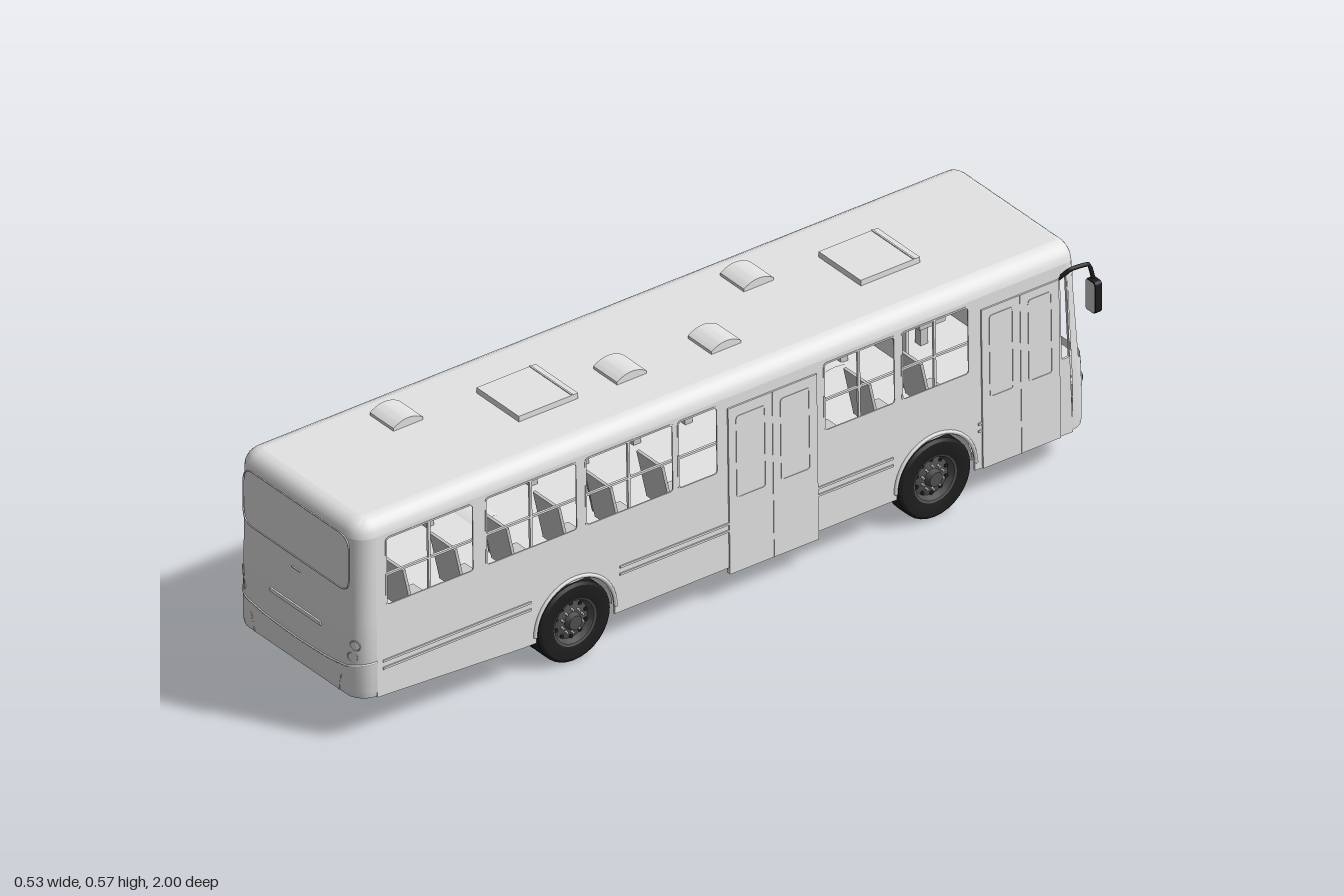
import * as THREE from 'three';
import { toCreasedNormals } from 'three/addons/utils/BufferGeometryUtils.js';

const mat = (name, color) => new THREE.MeshStandardMaterial({ name, color, side: THREE.DoubleSide });
const M = {
  body: mat('bodyGrey', 0xe4e4e4), trim: mat('trimGrey', 0xcccccc),
  black: mat('black', 0x1c1c1c), tyre: mat('tyreBlack', 0x1e1e1e), rim: mat('rimGrey', 0x505050),
};
const W = 0.224, REAR = 0.995, FRONT = -0.985, R = 0.05, ROOF = 0.506, FLOOR = 0.2;
const WHEELS = [0.41, -0.565];

// sides lean inwards and the windscreen end leans back
function lean(geo) {
  const p = geo.attributes.position;
  for (let i = 0; i < p.count; i++) {
    const y = p.getY(i), z = p.getZ(i);
    p.setX(i, p.getX(i) * (1 - 0.08 * (y - 0.08)));
    const w = THREE.MathUtils.clamp((-z - 0.9) / 0.085, 0, 1.1);
    p.setZ(i, z + w * 0.1 * Math.max(0, y - 0.22));
  }
  return geo;
}

// rounded plan outline: points 0-13 are the rear end, 14-27 the front end
function outline(off, y) {
  const pts = [];
  for (let c = 0; c < 4; c++) for (let i = 0; i < 7; i++) {
    const a = (c + i / 6) * Math.PI / 2, r = R - off;
    const cx = (c === 0 || c === 3 ? 1 : -1) * (W - R), cz = c < 2 ? REAR - R : FRONT + R;
    pts.push([cx + r * Math.cos(a), y, cz + r * Math.sin(a)]);
  }
  return pts;
}

function loft(rings, closed) {
  const n = rings[0].length, idx = [];
  for (let j = 0; j < rings.length - 1; j++) for (let i = 0; i < (closed ? n : n - 1); i++) {
    const a = j * n + i, b = j * n + (i + 1) % n;
    idx.push(a, a + n, b, b, a + n, b + n);
  }
  const g = new THREE.BufferGeometry();
  g.setAttribute('position', new THREE.Float32BufferAttribute(rings.flat(2), 3));
  g.setIndex(idx);
  lean(g).computeVertexNormals();
  return toCreasedNormals(g, 0.6);
}

function rounded(path, x0, y0, x1, y1, r) {
  path.moveTo(x0 + r, y0); path.lineTo(x1 - r, y0); path.quadraticCurveTo(x1, y0, x1, y0 + r);
  path.lineTo(x1, y1 - r); path.quadraticCurveTo(x1, y1, x1 - r, y1);
  path.lineTo(x0 + r, y1); path.quadraticCurveTo(x0, y1, x0, y1 - r);
  path.lineTo(x0, y0 + r); path.quadraticCurveTo(x0, y0, x0 + r, y0);
  return path;
}

export function createModel() {
  const root = new THREE.Group(); root.name = 'cityBus';
  const bus = new THREE.Group(); bus.name = 'bus'; bus.position.x = 0.01; root.add(bus);
  const add = (name, geo, m, parent = bus) => {
    const o = new THREE.Mesh(geo, m); o.name = name; parent.add(o); return o;
  };
  const box = (name, m, x0, x1, y0, y1, z0, z1, bent) => {
    const g = new THREE.BoxGeometry(x1 - x0, y1 - y0, z1 - z0).translate((x0 + x1) / 2, (y0 + y1) / 2, (z0 + z1) / 2);
    return add(name, bent ? lean(g) : g, m);
  };
  const tube = (name, m, r, pts, steps = 12) => add(name, new THREE.TubeGeometry(
    new THREE.CatmullRomCurve3(pts.map(p => new THREE.Vector3(...p)), false, 'catmullrom', 0.2), steps, r, 6), m);
  const frame = (x0, y0, x1, y1, r, t) => {
    const s = rounded(new THREE.Shape(), x0, y0, x1, y1, r);
    s.holes.push(rounded(new THREE.Path(), x0 + t, y0 + t, x1 - t, y1 - t, Math.max(r - t, 0.001)));
    return new THREE.ExtrudeGeometry(s, { depth: 0.003, bevelEnabled: false });
  };
  const sideways = (g, x) => lean(g.rotateY(Math.PI / 2).translate(x, 0, 0));

  // side walls with window and wheel openings; drawn with u = -z
  const common = [[0.68, 0.92], [0.4, 0.65], [0.14, 0.38], [0.02, 0.13], [-0.46, -0.265], [-0.66, -0.475]];
  for (const s of [1, -1]) {
    const shape = new THREE.Shape();
    shape.moveTo(-REAR + R, 0.107); shape.lineTo(-0.55, 0.085);
    for (const z of WHEELS) {
      shape.lineTo(-z - 0.106, 0.085);
      shape.absarc(-z, 0.1, 0.106, Math.PI, 0, true);
      shape.lineTo(-z + 0.106, 0.08);
    }
    shape.lineTo(-FRONT - R, 0.08); shape.lineTo(-FRONT - R, ROOF); shape.lineTo(-REAR + R, ROOF);
    const wins = s > 0 ? common : [...common, [-0.245, -0.01], [-0.89, -0.7]];
    for (const [a, b] of wins) shape.holes.push(rounded(new THREE.Path(), -b, 0.325, -a, 0.497, 0.012));
    shape.holes.push(rounded(new THREE.Path(), 0.908, 0.27, 0.93, 0.485, 0.006));
    add('sideWall', sideways(new THREE.ExtrudeGeometry(shape, { depth: 0.006, bevelEnabled: false, curveSegments: 14 }),
      s > 0 ? W - 0.006 : -W), M.body);
    const xo = s > 0 ? W - 0.002 : -W - 0.001;
    for (const [a, b] of wins) {
      add('windowFrame', sideways(frame(-b, 0.325, -a, 0.497, 0.012, 0.004), xo), M.body);
      const x = s * (W - 0.004), m = (a + b) / 2;
      box('windowRail', M.body, x - 0.003, x + 0.003, 0.4, 0.405, a, b, true);
      if (b - a > 0.15) box('windowDivider', M.body, x - 0.003, x + 0.003, 0.325, 0.497, m - 0.003, m + 0.003, true);
    }
    // belt mouldings between the wheel arches
    for (const [a, b] of [[0.53, 0.93], [-0.45, 0.29], [-0.9, -0.68]])
      for (const y of [0.172, 0.19])
        box('beltMoulding', M.body, s * W - 0.003, s * W + 0.003, y, y + 0.005, a, b, true);
    for (const z of WHEELS) {
      const lip = new THREE.TorusGeometry(0.109, 0.005, 6, 24, Math.PI).rotateY(Math.PI / 2).translate(s * W, 0.1, z);
      add('archLip', lean(lip), M.body);
      const len = z > 0 ? 0.12 : 0.08;
      add('wheelWell', new THREE.CylinderGeometry(0.106, 0.106, len, 20, 1, true, 0, Math.PI)
        .rotateZ(Math.PI / 2).translate(s * (W - 0.01 - len / 2), 0.1, z), M.body);
    }
  }

  // doors on the kerb side, each with a stepwell
  for (const [name, a, b, y0, y1] of [['middleDoor', -0.245, -0.005, 0.067, 0.48], ['frontDoor', -0.9, -0.69, 0.08, 0.475]]) {
    box(name, M.body, W - 0.008, W + 0.004, y0, y1, a, b, true);
    const m = (a + b) / 2;
    for (const [p, q] of [[a, m], [m, b]])
      add('doorPane', sideways(frame(-q + 0.02, 0.25, -p - 0.02, 0.455, 0.01, 0.003), W + 0.0025), M.body);
    box('doorSplit', M.body, W, W + 0.0055, y0, y1, m - 0.0015, m + 0.0015, true);
    box('doorStep', M.body, 0.12, W - 0.002, y0 + 0.01, y0 + 0.02, a, b);
    box('stepRiser', M.body, 0.12, 0.126, y0 + 0.02, FLOOR, a, b);
  }

  // roof with rolled edges, and both ends
  const rings = [0, 1, 2, 3, 4, 5].map(i => {
    const a = i * Math.PI / 10;
    return outline(0.04 * (1 - Math.cos(a)), ROOF + 0.04 * Math.sin(a));
  });
  add('roofEdge', loft(rings, true), M.body);
  const top = new THREE.Shape(outline(0.04, 0).map(([x, , z]) => new THREE.Vector2(x, -z)));
  add('roof', lean(new THREE.ShapeGeometry(top).rotateX(-Math.PI / 2).translate(0, ROOF + 0.04, 0)), M.body);
  const rear = (off, y) => outline(off, y).slice(0, 14);
  const front = (off, y) => outline(off, y).slice(14);
  add('rearWall', loft([rear(0.02, 0.105), rear(0.004, 0.108), rear(0, 0.125), rear(0, 0.3), rear(0, ROOF)]), M.body);
  add('frontPanel', loft([front(0.02, 0.078), front(0.002, 0.084), front(0, 0.1), front(0, 0.22), front(0, 0.255)]), M.body);
  add('frontHeader', loft([front(0, 0.455), front(0, ROOF)]), M.body);
  for (const [i, j] of [[0, 3], [11, 14]])
    add('windscreenPillar', loft([front(0, 0.255).slice(i, j), front(0, 0.455).slice(i, j)]), M.body);

  // rear details
  add('rearWindowSeam', frame(-0.188, 0.37, 0.188, 0.51, 0.035, 0.002).translate(0, 0, REAR - 0.001), M.body);
  for (const s of [1, -1]) for (const [x, y] of [[0.198, 0.24], [0.192, 0.21]])
    add('rearLamp', new THREE.TorusGeometry(0.012, 0.0015, 5, 20)
      .rotateY(s * 0.5).translate(s * x, y, REAR - (x > 0.195 ? 0.008 : 0.006)), M.body);
  box('plateLip', M.body, -0.09, 0.09, 0.243, 0.252, REAR - 0.002, REAR + 0.004);
  box('rearHandle', M.body, -0.015, 0.015, 0.34, 0.343, REAR - 0.002, REAR + 0.003);
  const seam = rear(0, 0.195).map(([x, y, z]) => [x, y - 0.012 * (1 - (Math.abs(x) - 0.174) / 0.05), z]);
  seam.splice(7, 0, [0.11, 0.174, REAR], [0, 0.17, REAR], [-0.11, 0.174, REAR]);
  lean(tube('rearBumperSeam', M.body, 0.0025, seam, 60).geometry);
  for (const s of [1, -1]) tube('bumperCrease', M.body, 0.0015, [[s * 0.16, 0.155, REAR], [s * 0.15, 0.11, REAR - 0.002]]);

  // front details
  const f = FRONT;
  box('routeSign', M.black, -0.17, 0.17, 0.462, 0.512, f - 0.004, f + 0.004, true);
  box('routeSignScreen', M.trim, -0.15, 0.15, 0.474, 0.504, f - 0.006, f, true);
  box('grille', M.black, -0.115, 0.115, 0.204, 0.226, f - 0.004, f, true);
  box('grilleStrip', M.body, -0.115, 0.115, 0.213, 0.217, f - 0.007, f, true);
  box('lowerGrille', M.body, -0.1, 0.1, 0.106, 0.12, f - 0.006, f, true);
  box('bumperBar', M.body, -0.15, 0.15, 0.137, 0.15, f - 0.012, f, true);
  for (const s of [1, -1]) {
    const lamp = new THREE.SphereGeometry(1, 16, 10).scale(0.038, 0.022, 0.012).rotateZ(s * 0.3).rotateY(s * -0.45);
    add('headlamp', lamp.translate(s * 0.18, 0.178, f + 0.008), M.trim);
    add('headlampRing', new THREE.TorusGeometry(0.012, 0.002, 5, 18).translate(s * 0.172, 0.178, f - 0.006), M.rim);
    add('fogLamp', new THREE.CylinderGeometry(0.01, 0.01, 0.006, 14).rotateX(Math.PI / 2).translate(s * 0.15, 0.113, f), M.trim);
    for (const d of [0, 0.02])
      tube('wiper', M.black, 0.003, [[s * (0.05 + d), 0.26, f - 0.002], [s * (0.04 + d), 0.32, f + 0.003], [s * (0.085 + d), 0.4, f + 0.012]]);
    tube('wiperBlade', M.black, 0.0025, [[s * 0.05, 0.36, f + 0.006], [s * 0.12, 0.42, f + 0.013]]);
  }
  const mirror = (x, y, z, turn, arm) => {
    tube('mirrorArm', M.black, 0.005, arm);
    const shell = rounded(new THREE.Shape(), -0.015, -0.037, 0.015, 0.037, 0.008);
    add('mirrorHousing', new THREE.ExtrudeGeometry(shell, { depth: 0.014, bevelSize: 0.003, bevelThickness: 0.003, bevelSegments: 2 })
      .translate(0, 0, -0.007).rotateY(turn).translate(x, y, z), M.black);
    add('mirrorGlass', new THREE.ShapeGeometry(rounded(new THREE.Shape(), -0.016, -0.038, 0.016, 0.038, 0.008))
      .translate(0, 0, 0.011).rotateY(turn).translate(x, y, z), M.trim);
  };
  mirror(-0.255, 0.4, -0.85, 0.1, [[-0.21, 0.482, -0.92], [-0.235, 0.487, -0.88], [-0.25, 0.472, -0.855], [-0.253, 0.435, -0.85]]);
  mirror(0.237, 0.415, -0.982, 0, [[0.212, 0.47, -0.9], [0.224, 0.492, -0.93], [0.228, 0.49, -0.975], [0.232, 0.45, -0.985]]);

  // roof hatches and curved vents
  for (const z of [-0.555, 0.37]) {
    box('roofHatch', M.body, -0.075, 0.075, 0.543, 0.56, z - 0.08, z + 0.08);
    box('hatchHinge', M.body, -0.075, 0.075, 0.56, 0.562, z - 0.066, z - 0.062);
  }
  for (const [x, z] of [[-0.1, -0.3], [0.063, -0.088], [0.04, 0.15], [-0.1, 0.648]]) {
    const v = new THREE.Shape();
    v.moveTo(-0.04, 0); v.lineTo(-0.04, 0.008); v.quadraticCurveTo(0, 0.034, 0.04, 0.008); v.lineTo(0.04, 0);
    add('roofVent', toCreasedNormals(new THREE.ExtrudeGeometry(v, { depth: 0.084, bevelEnabled: false })
      .rotateY(Math.PI / 2).translate(x - 0.042, 0.545, z), 0.5), M.body);
  }

  // raised floor on a ladder chassis
  box('floor', M.body, -0.215, 0.215, FLOOR - 0.006, FLOOR, -0.95, 0.96);
  for (const s of [1, -1]) {
    box('chassisRail', M.body, s * 0.09 - 0.012, s * 0.09 + 0.012, 0.1, 0.15, -0.95, 0.95);
    for (const z of WHEELS) {
      tube('leafSpring', M.trim, 0.008, [[s * 0.1, 0.08, z - 0.13], [s * 0.1, 0.06, z], [s * 0.1, 0.08, z + 0.13]]);
      for (const d of [-0.13, 0.13]) box('springHanger', M.trim, s * 0.1 - 0.01, s * 0.1 + 0.01, 0.052, 0.11, z + d - 0.01, z + d + 0.01);
    }
  }
  for (const z of [-0.8, -0.4, -0.24, 0, 0.25, 0.58])
    box('crossMember', M.body, -0.215, 0.215, 0.15, FLOOR - 0.006, z - 0.007, z + 0.007);
  const rod = (r, len) => new THREE.CylinderGeometry(r, r, len, 14);
  add('rearAxle', rod(0.02, 0.4).rotateZ(Math.PI / 2).translate(0, 0.08, WHEELS[0]), M.body);
  add('differential', new THREE.SphereGeometry(0.042, 20, 14).translate(0, 0.072, WHEELS[0]), M.body);
  box('frontAxle', M.body, -0.19, 0.19, 0.055, 0.08, WHEELS[1] - 0.015, WHEELS[1] + 0.015);

  // wheels: paired at the rear, single at the front
  const lathe = (pts) => toCreasedNormals(new THREE.LatheGeometry(pts.map(p => new THREE.Vector2(...p)), 32), 0.5);
  const tyreGeo = lathe([[0.056, -0.026], [0.09, -0.026], [0.097, -0.021], [0.097, 0.021], [0.09, 0.026], [0.072, 0.027], [0.056, 0.023]]);
  const rimGeo = lathe([[0, 0.028], [0.017, 0.028], [0.021, 0.014], [0.046, 0.008], [0.053, 0.023], [0.058, 0.025]]);
  for (const s of [1, -1]) for (const [x, z] of [[0.197, WHEELS[0]], [0.142, WHEELS[0]], [0.197, WHEELS[1]]]) {
    const wheel = new THREE.Group(); wheel.name = 'wheel';
    wheel.position.set(s * x, 0.097, z); wheel.rotation.z = -s * Math.PI / 2; bus.add(wheel);
    add('tyre', tyreGeo, M.tyre, wheel);
    add('rim', rimGeo, M.rim, wheel);
    for (let i = 0; i < 10; i++) {
      const a = i * Math.PI / 5;
      add('wheelNut', rod(0.003, 0.008).translate(0.028 * Math.cos(a), 0.016, 0.028 * Math.sin(a)), M.trim, wheel);
      add('rimHole', rod(0.005, 0.002).translate(0.041 * Math.cos(a), 0.0105, 0.041 * Math.sin(a)), M.black, wheel);
    }
  }

  // passenger seats, grab poles and the driver's place
  const seat = (x, z, w) => {
    box('seatCushion', M.trim, x - w, x + w, 0.262, 0.274, z - 0.035, z + 0.035);
    box('seatLeg', M.trim, x - 0.01, x + 0.01, FLOOR, 0.262, z - 0.01, z + 0.01);
    const back = new THREE.BoxGeometry(2 * w, 0.12, 0.007).rotateX(0.22);
    add('seatBack', back.translate(x, 0.327, z + 0.045), M.trim);
  };
  for (let i = 0; i < 11; i++) {
    const z = -0.6 + i * 0.14, door = z > -0.3 && z < 0.06;
    for (const s of door ? [-1] : [1, -1]) {
      seat(s * 0.158, z, 0.045);
      if (i % 2 === 0) tube('grabPole', M.trim, 0.003, [[s * 0.11, 0.274, z + 0.035], [s * 0.1, 0.4, z + 0.055], [s * 0.09, 0.54, z + 0.055]]);
    }
  }
  for (const s of [1, -1]) tube('ceilingRail', M.trim, 0.003, [[s * 0.09, 0.515, -0.65], [s * 0.09, 0.515, 0.9]]);
  seat(-0.11, -0.78, 0.04);
  box('driverPartition', M.body, -0.2, -0.05, FLOOR, 0.33, -0.7, -0.692);
  box('dashboard', M.body, -0.195, 0.195, FLOOR, 0.252, -0.965, -0.9);
  add('steeringWheel', new THREE.TorusGeometry(0.032, 0.004, 6, 20).rotateX(-1.1).translate(-0.11, 0.29, -0.875), M.rim);
  return root;
}
